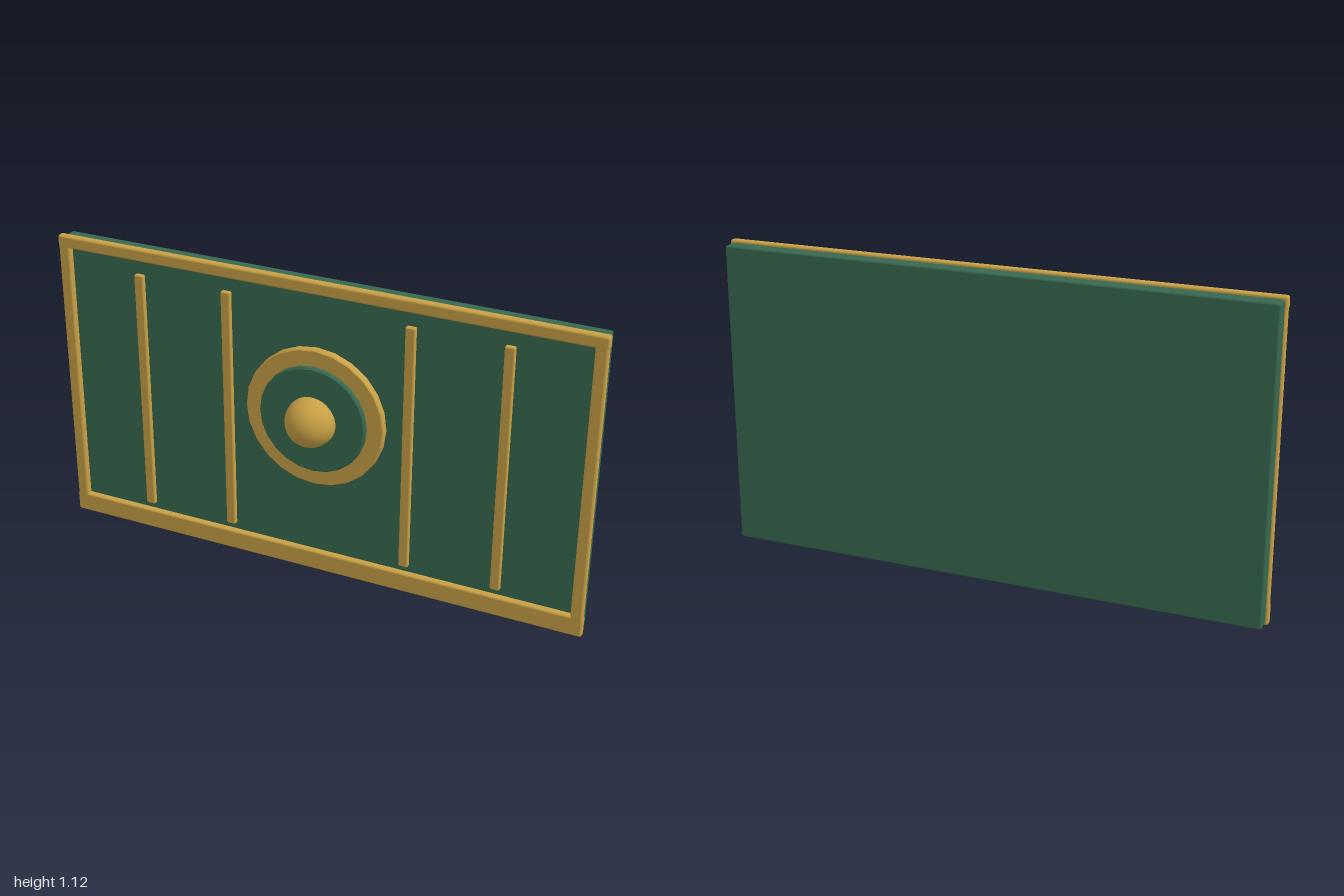
import * as THREE from 'three';
import { RoundedBoxGeometry } from 'three/addons/geometries/RoundedBoxGeometry.js';

export function createModel() {
  const model = new THREE.Group();
  model.name = 'ornamentalPanel';

  const green = new THREE.MeshStandardMaterial({ color: 0x386850 });
  green.name = 'deep green';
  const gold = new THREE.MeshStandardMaterial({ color: 0xc8a045 });
  gold.name = 'old gold';

  function add(name, geometry, material) {
    const mesh = new THREE.Mesh(geometry, material);
    mesh.name = name;
    model.add(mesh);
    return mesh;
  }

  // Rounded bar given by its extents on each axis
  function bar(name, [x0, x1], [y0, y1], [z0, z1], radius, material) {
    const geometry = new RoundedBoxGeometry(x1 - x0, y1 - y0, z1 - z0, 2, radius);
    geometry.translate((x0 + x1) / 2, (y0 + y1) / 2, (z0 + z1) / 2);
    return add(name, geometry, material);
  }

  // Faceted round plate with a small chamfer, facing +z
  const centreY = 0.62;
  function plate(name, radius, z0, z1, chamfer, material) {
    const r = radius - chamfer;
    const profile = [
      [0, z0], [radius, z0], [radius, z0], [radius, z1 - chamfer],
      [radius, z1 - chamfer], [r, z1], [r, z1], [0, z1],
    ].map(([x, y]) => new THREE.Vector2(x, y));
    const geometry = new THREE.LatheGeometry(profile, 24);
    geometry.rotateX(Math.PI / 2);
    geometry.translate(0, centreY, 0);
    return add(name, geometry, material);
  }

  // Backing slab
  bar('panel', [-0.99, 0.99], [0.005, 1.115], [-0.1, -0.04], 0.008, green);

  // Frame
  const frameDepth = [-0.048, -0.017];
  bar('frameTop', [-1, 1], [1.08, 1.125], frameDepth, 0.008, gold);
  bar('frameBottom', [-1, 1], [0, 0.075], frameDepth, 0.008, gold);
  for (const [side, s] of [['Left', 1], ['Right', -1]]) {
    const span = (a, b) => (s > 0 ? [a, b] : [-b, -a]);
    bar('frame' + side, span(0.955, 0.998), [0.003, 1.12], frameDepth, 0.008, gold);

    // Vertical ribs
    bar('innerRib' + side, span(0.323, 0.358), [0.1, 1.025], [-0.045, -0.023], 0.005, gold);
    bar('outerRib' + side, span(0.663, 0.698), [0.1, 1.025], [-0.045, -0.023], 0.005, gold);
  }

  // Central boss
  plate('bossRing', 0.26, -0.045, -0.012, 0.004, gold);
  plate('bossDisc', 0.2, -0.04, 0.005, 0.006, green);
  const knob = add('knob', new THREE.SphereGeometry(0.091, 32, 20), gold);
  knob.position.set(0, centreY, 0.01);

  return model;
}
